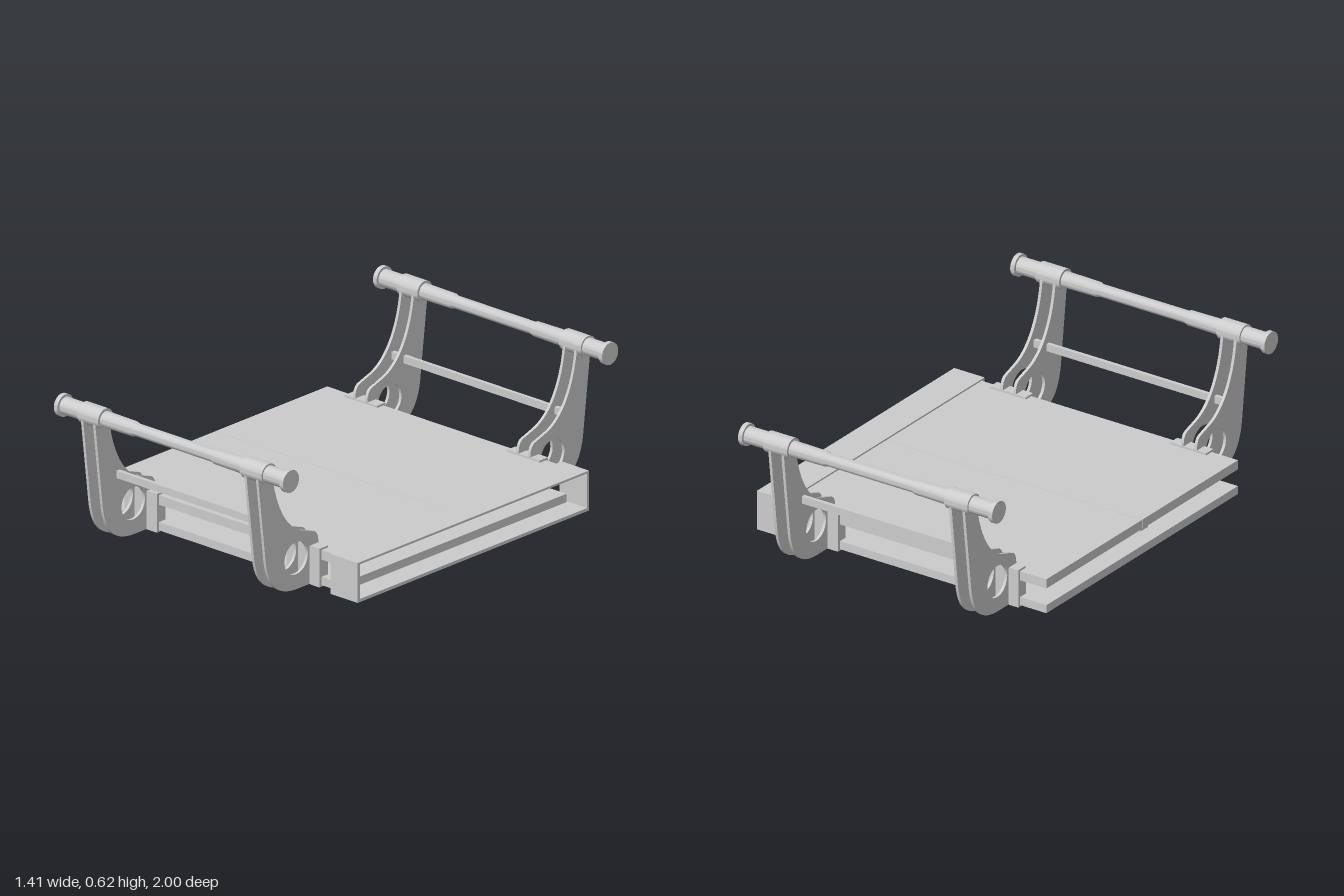
import * as THREE from 'three';
import { toCreasedNormals } from 'three/addons/utils/BufferGeometryUtils.js';

const mat = new THREE.MeshStandardMaterial({ color: 0xcccccc });

function add(parent, name, geometry) {
  const mesh = new THREE.Mesh(geometry, mat);
  mesh.name = name;
  parent.add(mesh);
  return mesh;
}

// box given by its min and max on each axis
function box(parent, name, [x0, x1], [y0, y1], [z0, z1]) {
  const mesh = add(parent, name, new THREE.BoxGeometry(x1 - x0, y1 - y0, z1 - z0));
  mesh.position.set((x0 + x1) / 2, (y0 + y1) / 2, (z0 + z1) / 2);
  return mesh;
}

// curved upright plate with a round hole, drawn in (z, y)
function finGeometry(thickness) {
  const s = new THREE.Shape();
  s.moveTo(0.685, 0.01);
  s.lineTo(0.77, 0.01);
  s.bezierCurveTo(0.87, 0.015, 0.935, 0.06, 0.949, 0.2);
  s.lineTo(0.994, 0.57);
  s.absarc(0.952, 0.57, 0.042, 0, Math.PI, false);
  s.bezierCurveTo(0.9, 0.46, 0.85, 0.3, 0.73, 0.255);
  s.lineTo(0.66, 0.232);
  s.quadraticCurveTo(0.632, 0.222, 0.632, 0.174);
  s.lineTo(0.685, 0.174);
  const hole = new THREE.Path();
  hole.absarc(0.765, 0.145, 0.07, 0, Math.PI * 2, true);
  s.holes.push(hole);
  const g = new THREE.ExtrudeGeometry(s, { depth: thickness, bevelEnabled: false, curveSegments: 24 });
  g.translate(0, 0, -thickness / 2);
  g.rotateY(-Math.PI / 2); // shape x becomes z
  return toCreasedNormals(g, 0.5);
}

// stepped grip bar turned about the x axis: [x, radius]
function handleGeometry() {
  const profile = [
    [-0.675, 0], [-0.675, 0.048], [-0.655, 0.048], [-0.655, 0.037],
    [-0.55, 0.037], [-0.55, 0.045], [-0.435, 0.045], [-0.435, 0.034],
    [-0.275, 0.032], [-0.262, 0.027], [0.162, 0.027], [0.175, 0.032],
    [0.34, 0.034], [0.34, 0.045], [0.46, 0.045], [0.46, 0.037],
    [0.56, 0.037], [0.56, 0.048], [0.58, 0.048], [0.58, 0],
  ].map(([x, r]) => new THREE.Vector2(r, x));
  const g = new THREE.LatheGeometry(profile, 40);
  g.rotateZ(-Math.PI / 2); // axis y becomes x
  return toCreasedNormals(g, 0.5);
}

export function createModel() {
  const model = new THREE.Group();
  model.name = 'tray';

  // two flat panels; the upper one is split along the middle
  const deck = new THREE.Group();
  deck.name = 'deck';
  model.add(deck);
  const panelX = [-0.71, 0.6];
  box(deck, 'lowerPanel', panelX, [0.014, 0.05], [-0.67, 0.67]);
  box(deck, 'upperPanelFront', panelX, [0.125, 0.166], [0.001, 0.67]);
  box(deck, 'upperPanelBack', panelX, [0.125, 0.166], [-0.67, -0.001]);
  box(deck, 'seamStrip', panelX, [0.118, 0.126], [-0.012, 0.04]);

  // open rectangular sleeve around the left end
  const frame = new THREE.Group();
  frame.name = 'endFrame';
  model.add(frame);
  const fx = [0.555, 0.705];
  box(frame, 'frameTop', fx, [0.164, 0.173], [-0.69, 0.69]);
  box(frame, 'frameBottom', fx, [0, 0.014], [-0.69, 0.69]);
  for (const s of [-1, 1]) {
    box(frame, 'frameSide', fx, [0.014, 0.164], s > 0 ? [0.678, 0.69] : [-0.69, -0.678]);
  }

  // the same handle assembly on the front and, mirrored, on the back
  const fin = finGeometry(0.013);
  const grip = handleGeometry();
  for (const s of [1, -1]) {
    const side = new THREE.Group();
    side.name = s > 0 ? 'frontHandle' : 'backHandle';
    model.add(side);
    const span = (a, b) => (s > 0 ? [a, b] : [-b, -a]);

    const bar = add(side, 'gripBar', grip);
    bar.position.set(0, 0.57, s * 0.952);
    box(side, 'crossBar', [-0.53, 0.435], [0.283, 0.315], span(0.847, 0.865));

    // mirrored plates are turned round, since their thickness is symmetric
    for (const x of [-0.528, -0.462, 0.366, 0.43]) {
      const plate = add(side, 'upright', fin);
      plate.position.x = x;
      if (s < 0) plate.rotation.y = Math.PI;
    }

    // clamps gripping the panel edges
    for (const [x0, x1] of [[-0.58, -0.402], [0.31, 0.488]]) {
      const clamp = new THREE.Group();
      clamp.name = 'clamp';
      side.add(clamp);
      box(clamp, 'clampPlate', [x0, x1], [0.008, 0.17], span(0.668, 0.682));
      box(clamp, 'clampSpacer', [x0, x1], [0.05, 0.125], span(0.63, 0.67));
      box(clamp, 'clampLowerLip', [x0, x1], [0.007, 0.016], span(0.59, 0.682));
      box(clamp, 'clampUpperLip', [x0, x1], [0.164, 0.175], span(0.632, 0.682));
    }
  }
  return model;
}
